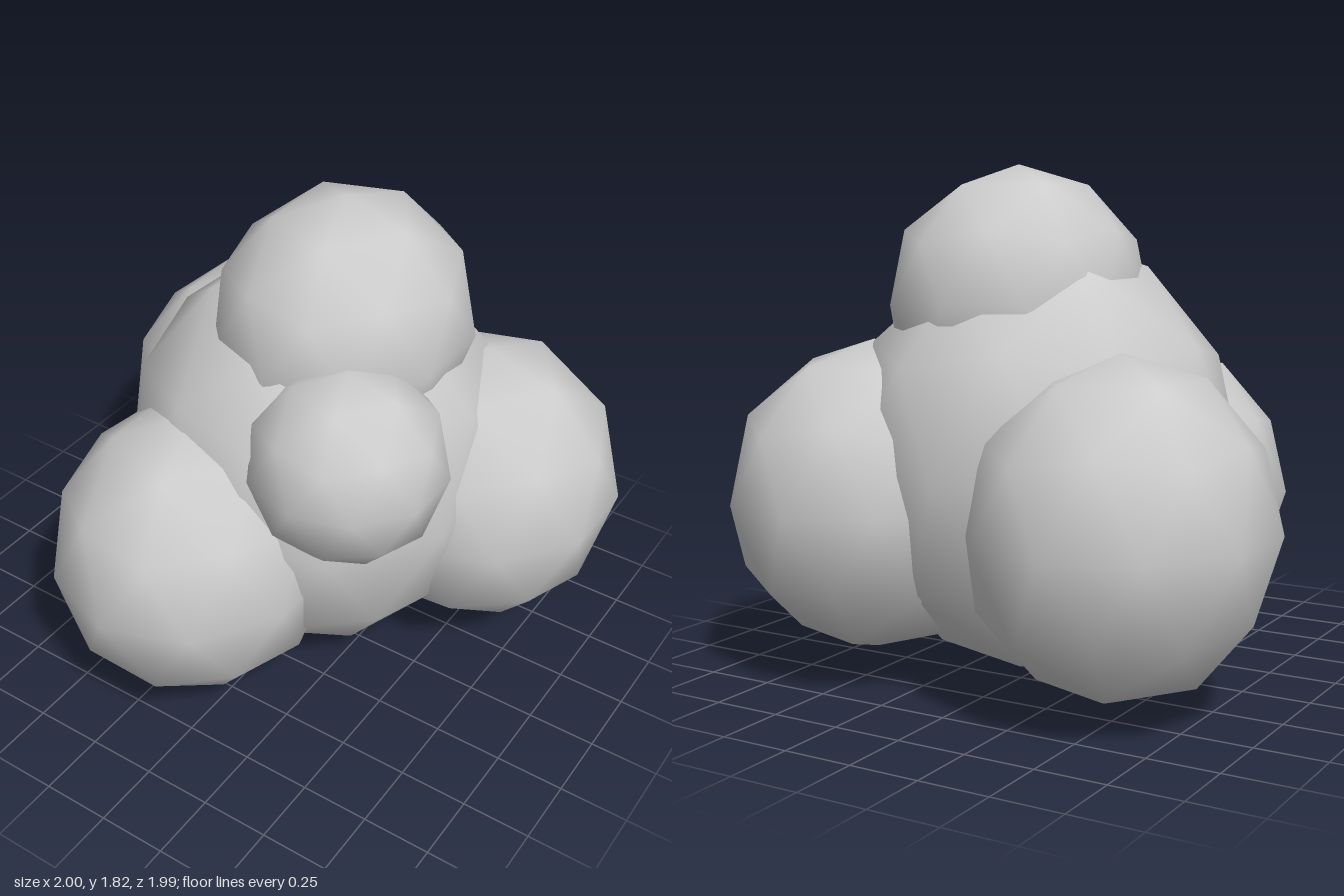
import * as THREE from 'three';

// name, centre, radii of every lobe in the cluster
const LOBES = [
  ['coreLobe', [-0.01, 0.79, -0.1], [0.7, 0.79, 0.725]],
  ['frontLobe', [-0.175, 0.6, 0.43], [0.51, 0.56, 0.56]],
  ['backLeftLobe', [0.5, 0.65, -0.42], [0.525, 0.56, 0.53]],
  ['backRightLobe', [-0.5, 0.63, -0.44], [0.525, 0.58, 0.555]],
  ['topLobe', [0.075, 1.34, -0.13], [0.46, 0.48, 0.5]],
  ['smallSideLobe', [0.345, 1.075, 0.265], [0.355, 0.36, 0.355]],
];

// 80-sided ball with a corner at the top pole and smooth normals
function lobeGeometry(radii) {
  const geometry = new THREE.IcosahedronGeometry(1, 1);
  geometry.rotateZ(-Math.atan2(2, 1 + Math.sqrt(5)));
  geometry.scale(...radii);
  return geometry;
}

export function createModel() {
  const model = new THREE.Group();
  model.name = 'lobeCluster';

  const grey = new THREE.MeshStandardMaterial({ color: 0xcccccc });
  grey.name = 'light grey';

  for (const [name, centre, radii] of LOBES) {
    const lobe = new THREE.Mesh(lobeGeometry(radii), grey);
    lobe.name = name;
    lobe.position.set(...centre);
    model.add(lobe);
  }
  return model;
}
